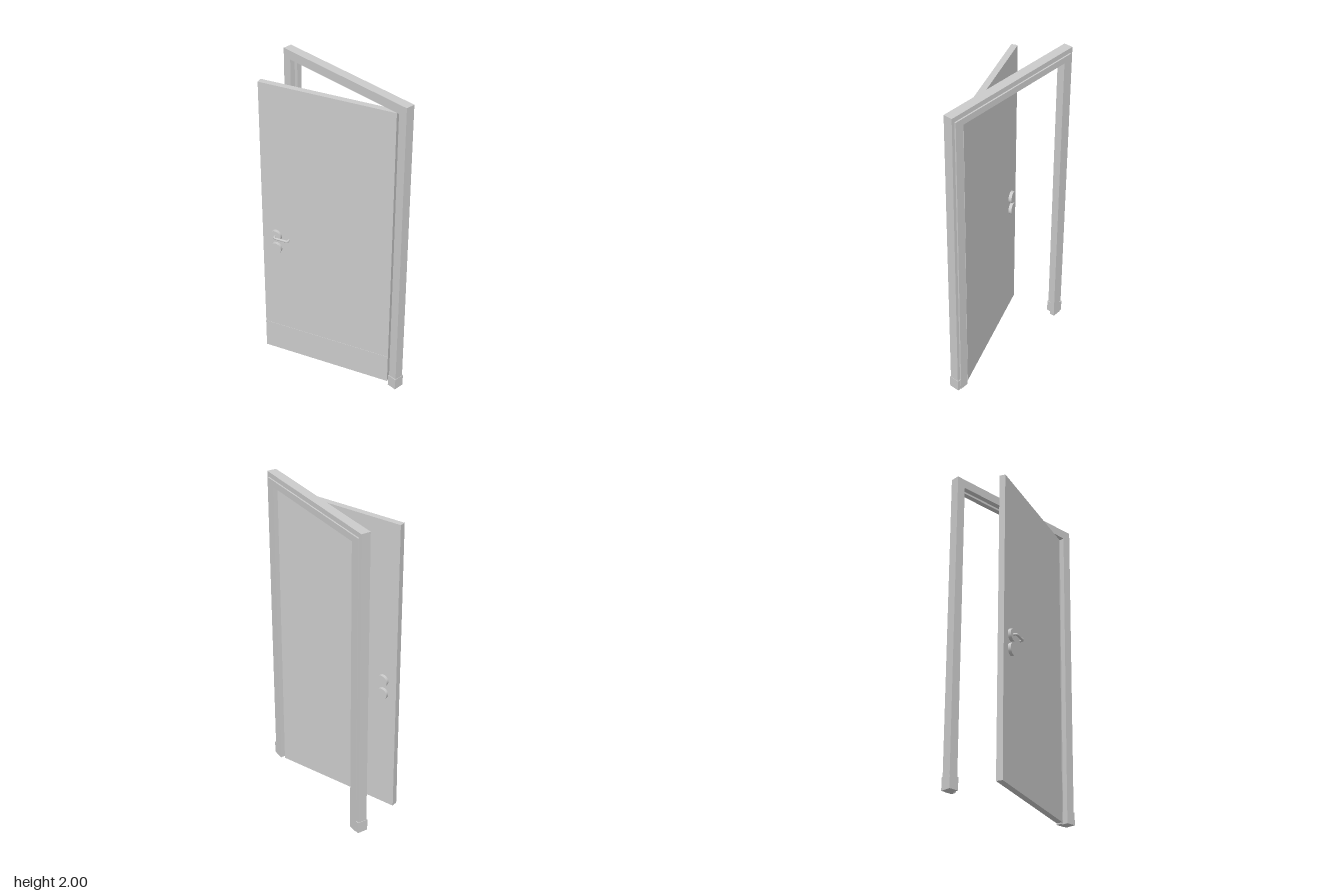
import * as THREE from 'three';

const material = new THREE.MeshStandardMaterial({ color: 0xcccccc });

function addMesh(parent, name, geometry, x = 0, y = 0, z = 0) {
  const mesh = new THREE.Mesh(geometry, material);
  mesh.name = name;
  mesh.position.set(x, y, z);
  parent.add(mesh);
  return mesh;
}

// Three-sided portal (two posts and a head) extruded through the wall depth, x0 to x1
function portal(outer, top, inner, head, x0, x1) {
  const points = [
    [-outer, 0], [-inner, 0], [-inner, head], [inner, head],
    [inner, 0], [outer, 0], [outer, top], [-outer, top],
  ].map(([a, b]) => new THREE.Vector2(a, b));
  const geometry = new THREE.ExtrudeGeometry(new THREE.Shape(points), { depth: x1 - x0, bevelEnabled: false });
  return geometry.rotateY(Math.PI / 2).translate(x0, 0, 0);
}

function createFrame() {
  const frame = new THREE.Group();
  frame.name = 'doorFrame';
  addMesh(frame, 'casing', portal(0.496, 2, 0.44, 1.943, -0.029, 0.029));
  // Stop moulding, proud of the casing and set into the opening
  addMesh(frame, 'stopMoulding', portal(0.476, 1.97, 0.418, 1.93, 0.005, 0.038));
  // Plinth blocks at the feet of the posts
  for (const side of [-1, 1]) {
    addMesh(frame, side > 0 ? 'frontPlinth' : 'rearPlinth',
      new THREE.BoxGeometry(0.068, 0.077, 0.063), 0, 0.0385, side * 0.4675);
  }
  frame.position.x = 0.142;
  frame.rotation.y = -0.01;
  return frame;
}

function createDoor() {
  const door = new THREE.Group();
  door.name = 'door';
  const thickness = 0.038, length = 0.853;
  addMesh(door, 'leaf', new THREE.BoxGeometry(thickness, 1.927, length), 0, 0.9665, 0);
  addMesh(door, 'kickPlate', new THREE.BoxGeometry(0.003, 0.197, length), -thickness / 2 - 0.0005, 0.1015, 0);

  // Round rose and lock plate on both faces
  const disc = new THREE.CylinderGeometry(0.038, 0.038, 0.021, 32).rotateZ(Math.PI / 2);
  for (const side of [-1, 1]) {
    const x = side * (thickness / 2 + 0.0095);
    addMesh(door, 'handleRose', disc, x, 0.9, -0.334);
    addMesh(door, 'lockPlate', disc, x, 0.81, -0.334);
  }

  // Lever with rounded bends, returning towards the leaf
  const v = (x, z) => new THREE.Vector3(x, 0.9, z);
  const path = new THREE.CurvePath();
  path.add(new THREE.LineCurve3(v(-0.03, -0.335), v(-0.042, -0.335)));
  path.add(new THREE.QuadraticBezierCurve3(v(-0.042, -0.335), v(-0.057, -0.335), v(-0.057, -0.317)));
  path.add(new THREE.LineCurve3(v(-0.057, -0.317), v(-0.057, -0.256)));
  path.add(new THREE.QuadraticBezierCurve3(v(-0.057, -0.256), v(-0.057, -0.24), v(-0.042, -0.24)));
  path.add(new THREE.LineCurve3(v(-0.042, -0.24), v(-0.037, -0.24)));
  addMesh(door, 'lever', new THREE.TubeGeometry(path, 48, 0.0075, 12));
  const cap = new THREE.CylinderGeometry(0.0075, 0.0075, 0.001, 12).rotateZ(Math.PI / 2);
  addMesh(door, 'leverEnd', cap, -0.037, 0.9, -0.24);

  // Leaf standing ajar
  door.position.set(-0.012, 0, 0.006);
  door.rotation.y = 0.366;
  return door;
}

export function createModel() {
  const model = new THREE.Group();
  model.name = 'openDoor';
  model.add(createFrame(), createDoor());
  return model;
}
